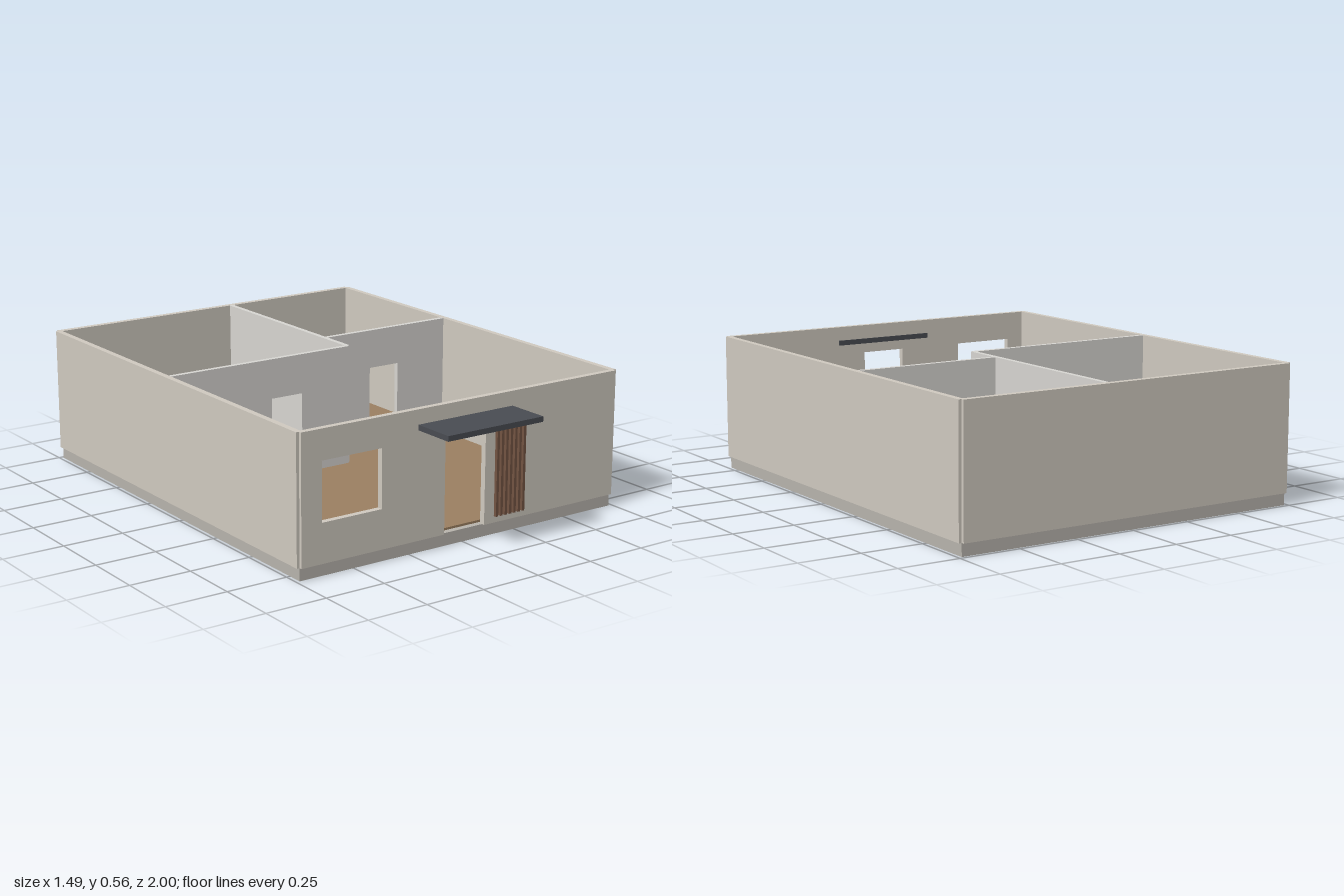
import * as THREE from 'three';

const WALL_BASE = 0.05, WALL_TOP = 0.555;
const mat = (color) => new THREE.MeshStandardMaterial({ color });

export function createModel() {
  const house = new THREE.Group();
  house.name = 'house';
  const outer = mat(0xd0cac0), inner = mat(0xd8d6d2), concrete = mat(0xb8b4ad);
  const timber = mat(0x9c8062), slatWood = mat(0x735442), metal = mat(0x494c52);

  const add = (name, geometry, material, parent = house) => {
    const mesh = new THREE.Mesh(geometry, material);
    mesh.name = name;
    parent.add(mesh);
    return mesh;
  };

  // Box given by its lower and upper bounds
  const block = (name, [x0, x1], [y0, y1], [z0, z1], material, parent) => {
    const mesh = add(name, new THREE.BoxGeometry(x1 - x0, y1 - y0, z1 - z0), material, parent);
    mesh.position.set((x0 + x1) / 2, (y0 + y1) / 2, (z0 + z1) / 2);
    return mesh;
  };

  // Wall along x with a doorway reaching its foot and optional windows
  const wallWithOpenings = (name, [x0, x1], [z0, z1], door, windows, material) => {
    const [d0, d1, head] = door;
    const shape = new THREE.Shape([
      [x0, WALL_BASE], [d0, WALL_BASE], [d0, head], [d1, head], [d1, WALL_BASE],
      [x1, WALL_BASE], [x1, WALL_TOP], [x0, WALL_TOP],
    ].map(([x, y]) => new THREE.Vector2(x, y)));
    for (const [a, b, low, high] of windows) {
      shape.holes.push(new THREE.Path([[a, low], [a, high], [b, high], [b, low]]
        .map(([x, y]) => new THREE.Vector2(x, y))));
    }
    const geometry = new THREE.ExtrudeGeometry(shape, { depth: z1 - z0, bevelEnabled: false });
    add(name, geometry, material).position.z = z0;
  };

  const height = [WALL_BASE, WALL_TOP];

  // Foundation and floor
  block('foundation', [-0.735, 0.735], [0, 0.05], [-0.987, 0.812], concrete);
  block('floor', [-0.711, 0.711], [0.05, 0.059], [-0.963, 0.787], timber);

  // Outer walls, centred on the foundation edge
  wallWithOpenings('frontWall', [-0.735, 0.735], [0.8, 0.824],
    [-0.096, 0.094, 0.437], [[-0.647, -0.384, 0.206, 0.437]], outer);
  block('backWall', [-0.735, 0.735], height, [-1, -0.975], outer);
  for (const [name, x] of [['leftWall', 0.735], ['rightWall', -0.735]]) {
    block(name, [x - 0.012, x + 0.012], height, [-0.987, 0.812], outer);
  }

  // Partitions between the three rooms
  wallWithOpenings('rightPartition', [-0.735, 0.11], [-0.102, -0.082], [-0.265, -0.12, 0.393], [], inner);
  wallWithOpenings('leftPartition', [0.11, 0.735], [-0.268, -0.248], [0.335, 0.48, 0.393], [], inner);
  block('middlePartition', [0.101, 0.121], height, [-0.987, -0.092], inner);

  // Entrance canopy passing through the front wall
  block('canopy', [-0.222, 0.22], [0.476, 0.497], [0.797, 1], metal);

  // Vertical timber screen beside the door
  const screen = new THREE.Group();
  screen.name = 'slatScreen';
  house.add(screen);
  for (let i = 0; i < 7; i++) {
    const x = 0.146 + i * 0.0213;
    block('slat', [x - 0.0055, x + 0.0055], [0.076, 0.466], [0.822, 0.837], slatWood, screen);
  }

  return house;
}
